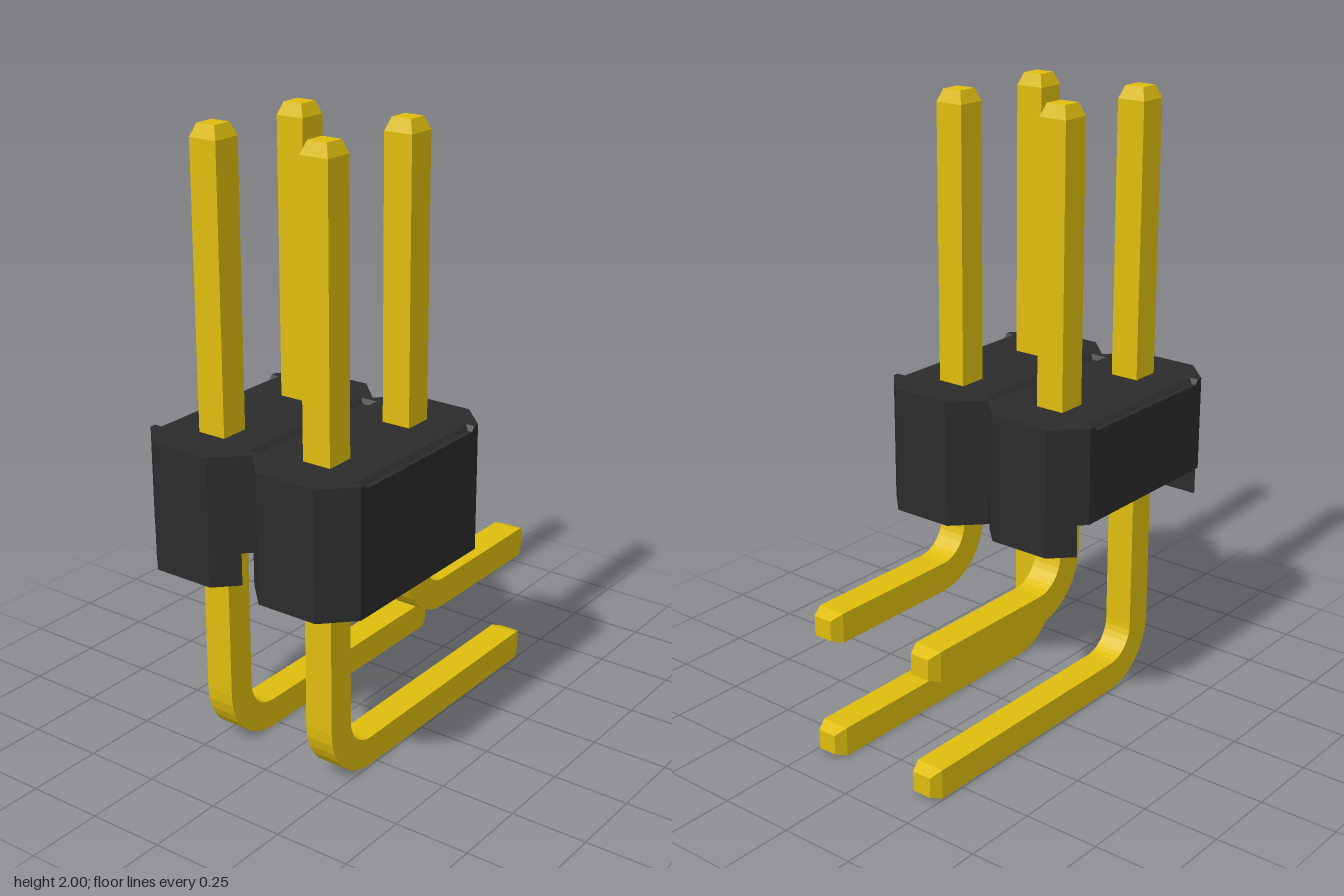
import * as THREE from 'three';

const PITCH = 0.393;          // spacing of the pins, and width of one housing block
const HALF = PITCH / 2;
const BODY_Z = 0.232;         // middle of the housing
const DEPTH = 0.393;          // half depth of the housing
const CUT = 0.093;            // corner chamfer
const [BASE, SLOT, LEDGE, TOP] = [0.655, 0.76, 1.055, 1.07];

const plastic = new THREE.MeshStandardMaterial({ color: 0x2b2b2b, flatShading: true });
const gold = new THREE.MeshStandardMaterial({ color: 0xdfbd0e, flatShading: true });

// Upright prism from a plan outline [x, z]
function prism(points, y0, y1) {
  const shape = new THREE.Shape(points.map(([x, z]) => new THREE.Vector2(x, -z)));
  const geo = new THREE.ExtrudeGeometry(shape, { depth: y1 - y0, bevelEnabled: false });
  return geo.rotateX(-Math.PI / 2).translate(0, y0, 0);
}

function addMesh(parent, name, geo, material) {
  const mesh = new THREE.Mesh(geo, material);
  mesh.name = name;
  parent.add(mesh);
  return mesh;
}

// Mirrors a quarter of an outline into a whole one, walking round the corners
function mirrored(quarter) {
  const flip = (sx, sz) => quarter.map(([x, z]) => [x * sx, z * sz]);
  return [...flip(1, 1), ...flip(-1, 1).reverse(), ...flip(-1, -1), ...flip(1, -1).reverse()];
}

// Top layer with a shallow sloping recess along both sides
function capGeometry() {
  const geo = prism(mirrored([
    [HALF - 0.03, 0.28], [HALF, 0.28], [HALF, DEPTH - CUT], [HALF - CUT, DEPTH],
  ]), LEDGE, TOP);
  const p = geo.attributes.position;
  for (let i = 0; i < p.count; i++) {
    const x = p.getX(i), z = p.getZ(i);
    if (p.getY(i) > LEDGE + 0.005 || Math.abs(z) > 0.29) continue;
    p.setZ(i, z * 0.955);
    if (Math.abs(x) < HALF - 0.01) p.setX(i, Math.sign(x) * (HALF - 0.015));
  }
  geo.computeVertexNormals();
  return geo;
}

// One octagonal block; a slotted one keeps only its end walls at the bottom
function housingBlock(slotted) {
  const block = new THREE.Group();
  block.name = slotted ? 'slottedHousingBlock' : 'solidHousingBlock';
  const octagon = mirrored([[HALF, DEPTH - CUT], [HALF - CUT, DEPTH]]);
  addMesh(block, 'blockBody', prism(octagon, slotted ? SLOT : BASE, LEDGE), plastic);
  addMesh(block, 'blockTop', capGeometry(), plastic);
  if (slotted) {
    const t = 0.068, w = HALF - CUT;
    for (const s of [1, -1]) {
      const wall = [[-w - t, s * (DEPTH - t)], [w + t, s * (DEPTH - t)], [w, s * DEPTH], [-w, s * DEPTH]];
      addMesh(block, 'endWall', prism(wall, BASE, SLOT), plastic);
    }
  }
  return block;
}

// Square bent pin: square rings swept down, round the bend and to the back
function pinGeometry(zMid, yLow) {
  const h = 0.0485, tip = 0.033, R = 0.2, STEPS = 8, END = -0.625;
  const cy = yLow + R, cz = zMid + h - R;
  const rings = [[2, zMid, 0, tip], [1.96, zMid, 0, h]];
  for (let i = 0; i <= STEPS; i++) {
    const a = (i / STEPS) * Math.PI / 2;
    rings.push([cy - Math.sin(a) * (R - h), cz + Math.cos(a) * (R - h), a, h]);
  }
  rings.push([yLow + h, END + 0.04, Math.PI / 2, h], [yLow + h, END, Math.PI / 2, tip]);

  const pos = [], index = [];
  rings.forEach(([y, z, a, r], i) => {
    for (const [sx, sn] of [[1, 1], [-1, 1], [-1, -1], [1, -1]]) {
      pos.push(sx * r, y - sn * r * Math.sin(a), z + sn * r * Math.cos(a));
    }
    if (i === 0) return;
    for (let j = 0; j < 4; j++) {
      const k = (j + 1) % 4, p = (i - 1) * 4, q = i * 4;
      index.push(p + j, p + k, q + k, p + j, q + k, q + j);
    }
  });
  const e = (rings.length - 1) * 4;
  index.push(0, 2, 1, 0, 3, 2, e, e + 1, e + 2, e, e + 2, e + 3);

  const geo = new THREE.BufferGeometry();
  geo.setAttribute('position', new THREE.Float32BufferAttribute(pos, 3));
  geo.setIndex(index);
  const flat = geo.toNonIndexed();
  flat.computeVertexNormals();
  return flat;
}

export function createModel() {
  const model = new THREE.Group();
  model.name = 'angledPinHeader';
  for (const side of [-1, 1]) {
    const x = side * HALF;
    const block = housingBlock(side < 0);
    block.position.set(x, 0, BODY_Z);
    model.add(block);
    addMesh(model, 'frontPin', pinGeometry(0.43, 0), gold).position.x = x;
    addMesh(model, 'backPin', pinGeometry(0.037, 0.395), gold).position.x = x;
  }
  return model;
}
